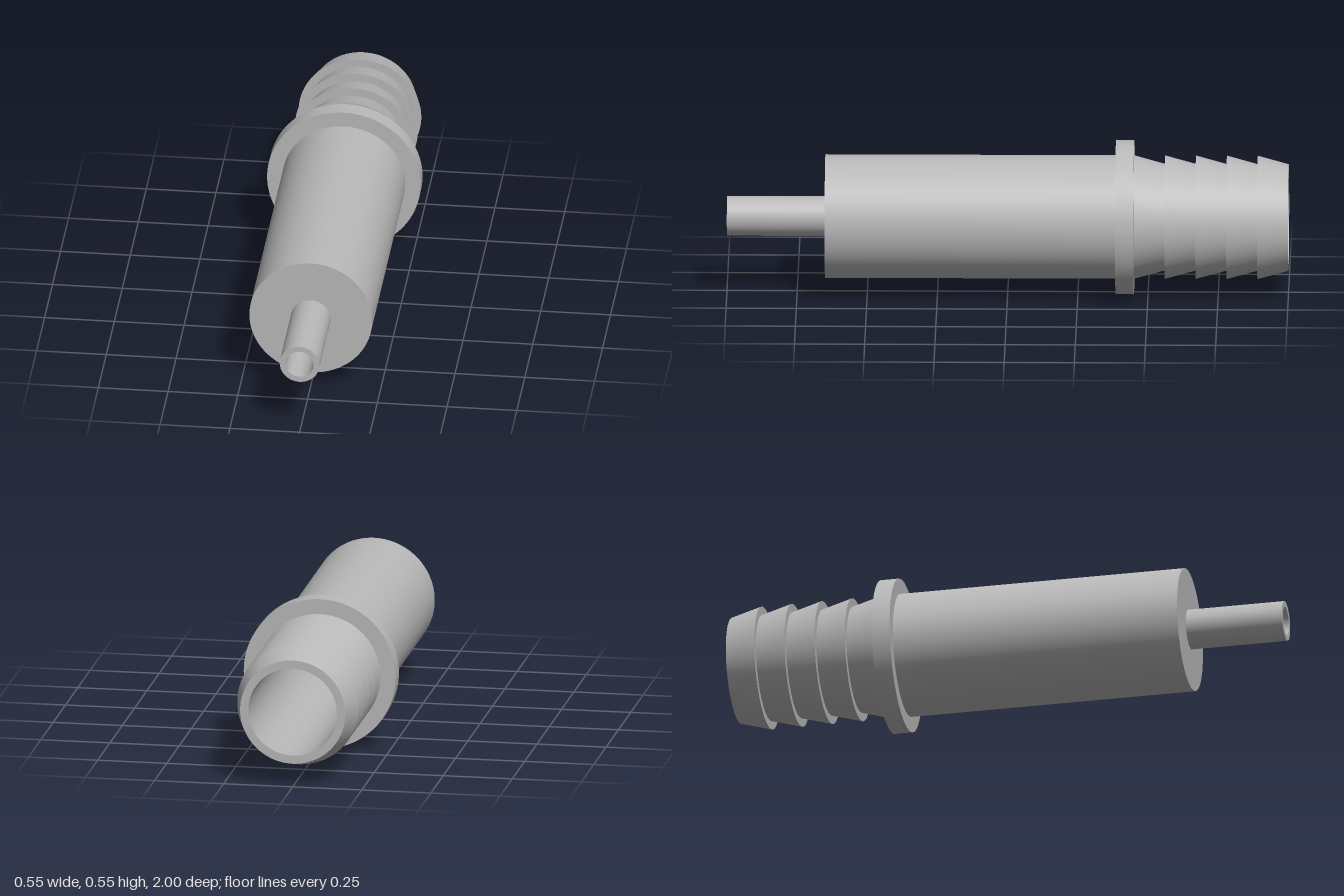
import * as THREE from 'three';
import { mergeGeometries } from 'three/addons/utils/BufferGeometryUtils.js';

const grey = new THREE.MeshStandardMaterial({ color: 0xb8b8b8 });
grey.name = 'grey';

// Turned surface along z from [radius, z] points; each span is smooth round the axis with sharp edges between.
// Outer skins run towards +z, inner skins back towards -z.
function turned(name, profile) {
  const spans = [];
  for (let i = 0; i < profile.length - 1; i++) {
    const pts = [profile[i], profile[i + 1]].map(([r, z]) => new THREE.Vector2(r, z));
    spans.push(new THREE.LatheGeometry(pts, 96));
  }
  const mesh = new THREE.Mesh(mergeGeometries(spans).rotateX(Math.PI / 2), grey);
  mesh.name = name;
  return mesh;
}

export function createModel() {
  const group = new THREE.Group();
  group.name = 'hoseFitting';

  const axis = 0.275, bodyR = 0.22, barbR = 0.19;
  const tubeR = 0.071, tubeBore = 0.05, mainBore = 0.16;
  const flangeBack = -0.45, flangeFront = -0.385, bodyFront = 0.65, boreEnd = 0.59;

  // Main barrel with its front shoulder
  group.add(turned('body', [[bodyR, flangeFront], [bodyR, bodyFront], [tubeR, bodyFront]]));

  // Thin stop collar
  group.add(turned('flange', [
    [barbR, flangeBack], [axis, flangeBack], [axis, flangeFront], [bodyR, flangeFront],
  ]));

  // Five hose barbs, each widening towards the collar
  const count = 5, pitch = (flangeBack + 1) / count;
  for (let i = 0; i < count; i++) {
    const z = -1 + i * pitch;
    group.add(turned('barb' + (i + 1), [[barbR, z], [bodyR, z + pitch], [barbR, z + pitch]]));
  }

  // Narrow front tube with its rim
  group.add(turned('frontTube', [[tubeR, bodyFront], [tubeR, 1], [tubeBore, 1]]));

  // Through passage: narrow at the front, wide at the back, ending in the rear rim
  group.add(turned('bore', [
    [tubeBore, 1], [tubeBore, boreEnd], [mainBore, boreEnd], [mainBore, -1], [barbR, -1],
  ]));

  for (const part of group.children) part.position.y = axis;
  return group;
}
